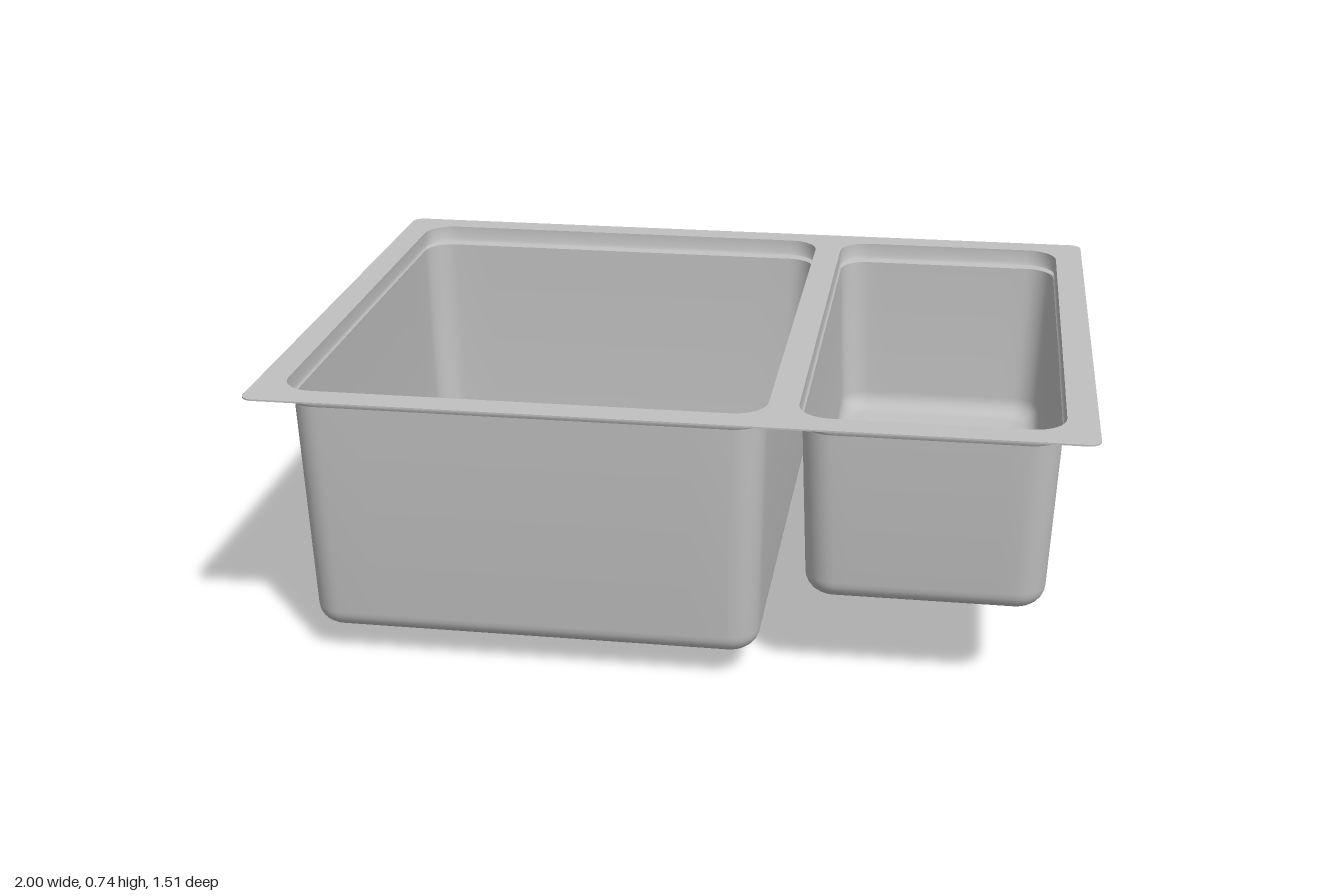
import * as THREE from 'three';
import { toCreasedNormals } from 'three/addons/utils/BufferGeometryUtils.js';

const steel = new THREE.MeshStandardMaterial({ color: 0xc0c0c0, side: THREE.DoubleSide });
steel.name = 'brushed steel';

const TOP = 0.74;
const DRAIN_Z = -0.28;

// Points [x, z] around a rounded rectangle, with extra points along the sides
function roundedRect(x0, x1, z0, z1, r, sideSteps = 10, cornerSteps = 8) {
  const corners = [[x1 - r, z1 - r], [x0 + r, z1 - r], [x0 + r, z0 + r], [x1 - r, z0 + r]];
  const pts = [];
  corners.forEach(([cx, cz], i) => {
    for (let k = 0; k <= cornerSteps; k++) {
      const a = (i + k / cornerSteps) * Math.PI / 2;
      pts.push([cx + r * Math.cos(a), cz + r * Math.sin(a)]);
    }
    const [ax, az] = pts[pts.length - 1];
    const [nx, nz] = corners[(i + 1) % 4];
    const a = (i + 1) * Math.PI / 2;
    const bx = nx + r * Math.cos(a), bz = nz + r * Math.sin(a);
    for (let k = 1; k < sideSteps; k++) {
      const t = k / sideSteps;
      pts.push([ax + (bx - ax) * t, az + (bz - az) * t]);
    }
  });
  return pts;
}

// Skin over a stack of rings with equal point counts
function loft(rings) {
  const n = rings[0].length, pos = [], idx = [];
  rings.forEach(ring => ring.forEach(p => pos.push(...p)));
  for (let j = 0; j < rings.length - 1; j++) {
    for (let i = 0; i < n; i++) {
      const a = j * n + i, b = j * n + (i + 1) % n;
      idx.push(a, b, a + n, b, b + n, a + n);
    }
  }
  const g = new THREE.BufferGeometry();
  g.setAttribute('position', new THREE.Float32BufferAttribute(pos, 3));
  g.setIndex(idx);
  return toCreasedNormals(g, 0.6);
}

function shapeFrom(pts, Type = THREE.Shape) {
  return new Type(pts.map(([x, z]) => new THREE.Vector2(x, -z)));
}

function flatPlate(shape, depth, y) {
  const g = new THREE.ExtrudeGeometry(shape, { depth, bevelEnabled: false, curveSegments: 40 });
  g.rotateX(-Math.PI / 2);
  g.translate(0, y, 0);
  return g;
}

function add(group, geometry, name) {
  const mesh = new THREE.Mesh(geometry, steel);
  mesh.name = name;
  group.add(mesh);
  return mesh;
}

// Perforated strainer disc with radial slots and a raised centre knob
function createStrainer(x, y) {
  const g = new THREE.Group();
  g.name = 'strainer';
  g.position.set(x, y, DRAIN_Z);
  const disc = new THREE.Shape().absarc(0, 0, 0.126, 0, Math.PI * 2);
  const slots = 28;
  for (let i = 0; i < slots; i++) {
    const a = i / slots * Math.PI * 2, c = Math.cos(a), s = Math.sin(a);
    const corner = (r, w) => new THREE.Vector2(r * c - w * s, r * s + w * c);
    disc.holes.push(new THREE.Path([
      corner(0.078, -0.004), corner(0.078, 0.004), corner(0.112, 0.005), corner(0.112, -0.005)]));
  }
  add(g, flatPlate(disc, 0.004, 0), 'slottedDisc');
  const knob = add(g, new THREE.CylinderGeometry(0.043, 0.045, 0.012, 40), 'strainerKnob');
  knob.position.y = 0.008;
  return g;
}

function createBowl(name, b) {
  const bowl = new THREE.Group();
  bowl.name = name;
  const rect = (ix, iz, y, r) =>
    roundedRect(b.x0 + ix, b.x1 - ix, b.z0 + iz, b.z1 - iz, r).map(([x, z]) => [x, y, z]);

  // Collar and the ledge along the front and back
  add(bowl, loft([
    rect(0, 0, TOP, 0.08), rect(0, 0, 0.705, 0.08),
    rect(0.002, 0.004, 0.697, 0.08), rect(0.005, 0.032, 0.694, 0.075)]), 'collar');

  // Tapered walls, then a rounded turn into the floor
  const fillet = 0.05, steps = 6;
  const body = [rect(0.005, 0.032, 0.694, 0.075)];
  for (let k = 0; k <= steps; k++) {
    const a = k / steps * Math.PI / 2, inset = fillet * (1 - Math.cos(a));
    body.push(rect(0.019 + inset, 0.045 + inset, b.floor + fillet * (1 - Math.sin(a)), 0.075 - inset));
  }
  const edge = body[body.length - 1];

  // Floor falls to the drain, which flares down into a short outlet
  const circle = (r, y) => edge.map(([x, , z]) => {
    const a = Math.atan2(z - DRAIN_Z, x - b.drainX);
    return [b.drainX + r * Math.cos(a), y, DRAIN_Z + r * Math.sin(a)];
  });
  const low = b.floor - 0.02;
  body.push(circle(0.155, low));
  for (let k = 1; k <= 4; k++) {
    const a = k / 4 * Math.PI / 2;
    body.push(circle(0.155 - 0.028 * Math.sin(a), low - 0.022 * (1 - Math.cos(a))));
  }
  body.push(circle(0.127, b.bottom));
  add(bowl, loft(body), 'basin');

  const cap = add(bowl, new THREE.CylinderGeometry(0.127, 0.127, 0.004, 48), 'drainCap');
  cap.position.set(b.drainX, b.bottom + 0.002, DRAIN_Z);
  bowl.add(createStrainer(b.drainX, b.bottom + 0.02));
  return bowl;
}

export function createModel() {
  const model = new THREE.Group();
  model.name = 'doubleSink';
  const bowls = {
    largeBowl: { x0: -0.93, x1: 0.238, z0: -0.688, z1: 0.684, floor: 0.075, bottom: 0, drainX: -0.347 },
    smallBowl: { x0: 0.31, x1: 0.927, z0: -0.688, z1: 0.684, floor: 0.246, bottom: 0.176, drainX: 0.617 },
  };

  // Thin rim with one opening per bowl
  const rim = shapeFrom(roundedRect(-1, 1, -0.757, 0.757, 0.03));
  for (const [name, b] of Object.entries(bowls)) {
    rim.holes.push(shapeFrom(roundedRect(b.x0, b.x1, b.z0, b.z1, 0.08), THREE.Path));
    model.add(createBowl(name, b));
  }
  add(model, flatPlate(rim, 0.004, TOP - 0.004), 'rim');
  return model;
}
